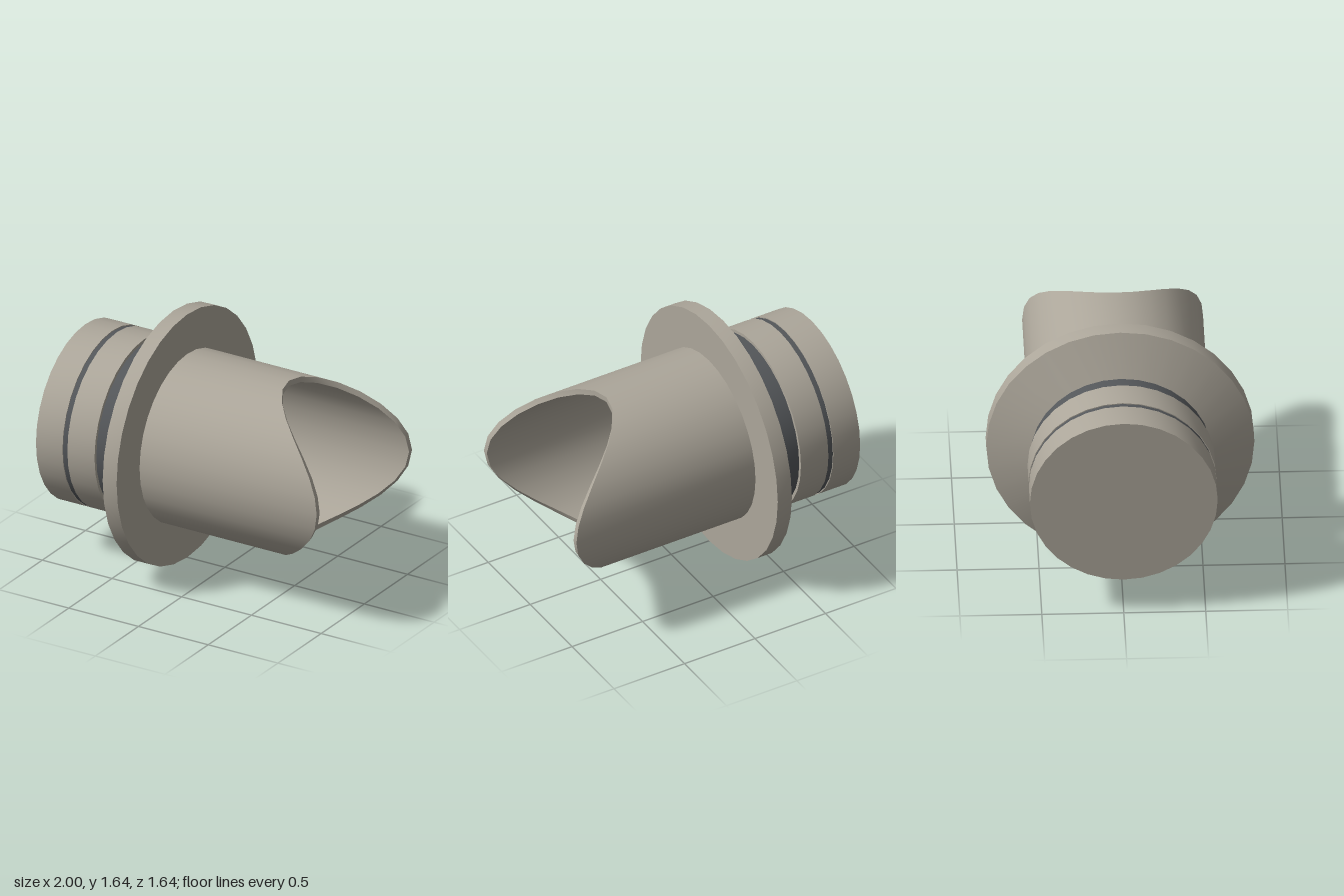
import * as THREE from 'three';
import { toCreasedNormals } from 'three/addons/utils/BufferGeometryUtils.js';

const SIDES = 32;
const AXIS_HEIGHT = 0.818;
const TIP = 1;

// Turned part along the x axis from [x, radius] points
function turned(profile) {
  const points = profile.map(([x, r]) => new THREE.Vector2(r, x));
  return new THREE.LatheGeometry(points, SIDES).rotateZ(-Math.PI / 2);
}

export function createModel() {
  const grey = new THREE.MeshStandardMaterial({ name: 'warm grey', color: 0xaca69a });
  const dark = new THREE.MeshStandardMaterial({ name: 'dark grey', color: 0x54575a });
  const cream = new THREE.MeshStandardMaterial({ name: 'cream lens', color: 0xd3caad });

  const model = new THREE.Group();
  model.name = 'hoodedLamp';
  const add = (name, geometry, material) => {
    const mesh = new THREE.Mesh(toCreasedNormals(geometry, 0.4), material);
    mesh.name = name;
    mesh.position.y = AXIS_HEIGHT;
    model.add(mesh);
  };

  // Rear housing in two bands, with a dark core showing between them
  add('rearCap', turned([[-1, 0], [-1, 0.573], [-0.81, 0.573], [-0.81, 0.54]]), grey);
  add('rearBand', turned([[-0.775, 0.54], [-0.775, 0.573], [-0.58, 0.573], [-0.58, 0.53]]), grey);
  add('grooveRing', turned([[-0.82, 0.567], [-0.765, 0.567]]), dark);
  add('neck', turned([[-0.6, 0.552], [-0.46, 0.552]]), dark);

  // Flange with a conical back
  add('flange', turned([[-0.48, 0.552], [-0.37, 0.818], [-0.27, 0.818], [-0.27, 0.545]]), grey);

  // Thin-walled hood, its mouth cut in a saddle curve
  const hood = turned([[-0.3, 0.552], [TIP, 0.552], [TIP, 0.517], [-0.3, 0.517]]);
  const p = hood.attributes.position;
  for (let i = 0; i < p.count; i++) {
    if (p.getX(i) < TIP - 0.01) continue;
    const y = p.getY(i), z = p.getZ(i);
    p.setX(i, 0.73 - 0.27 * (y * y - z * z) / (y * y + z * z));
  }
  add('hood', hood, grey);

  // Lens disc at the bottom of the hood
  add('lens', new THREE.CircleGeometry(0.52, SIDES).rotateY(Math.PI / 2).translate(-0.27, 0, 0), cream);

  return model;
}
